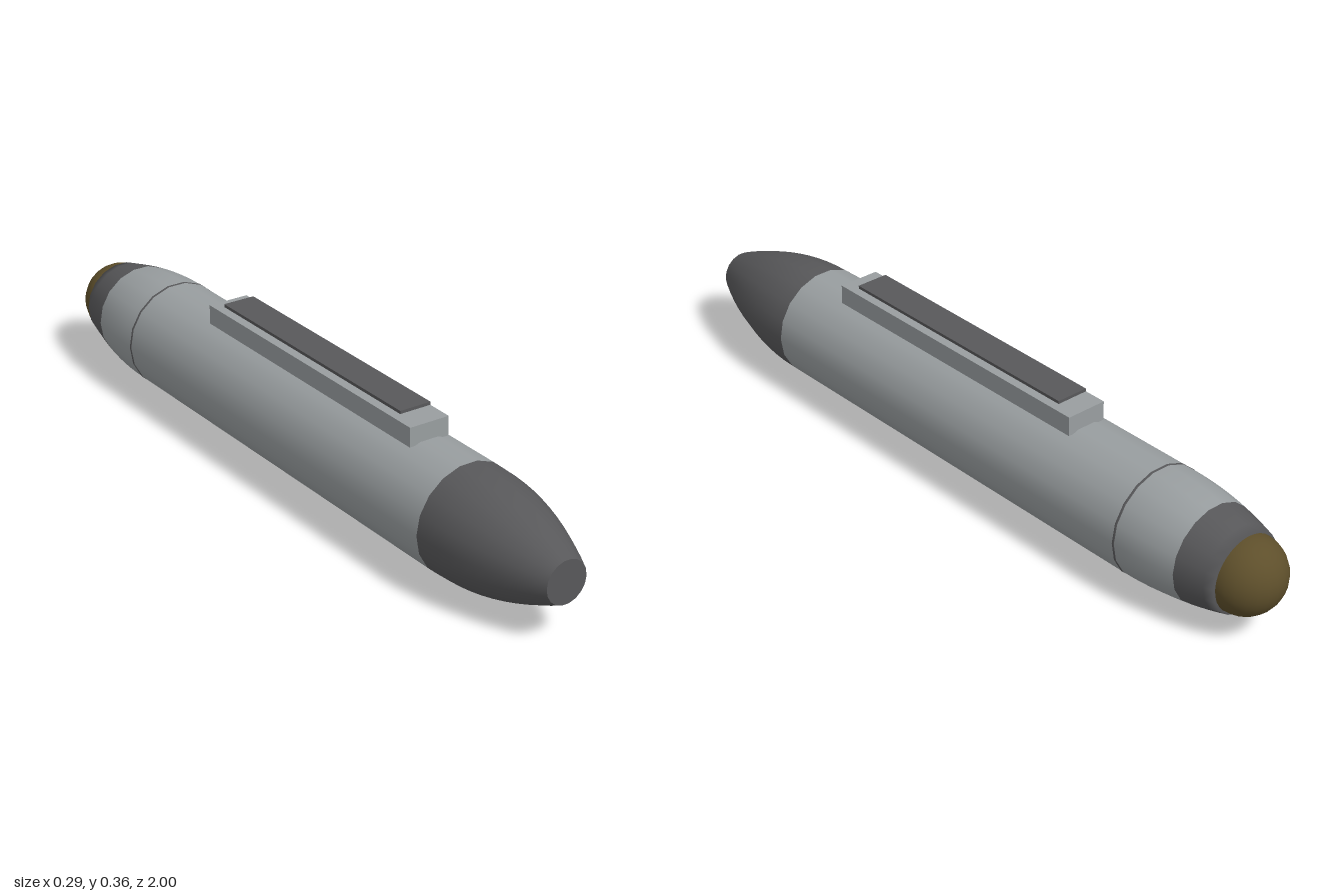
import * as THREE from 'three';

const AXIS_Y = 0.157, R = 0.146, SIDES = 18;

export function createModel() {
  const group = new THREE.Group();
  const material = (name, color) => {
    const m = new THREE.MeshStandardMaterial({ color });
    m.name = name;
    return m;
  };
  const grey = material('light grey', 0x999ea0);
  const dark = material('dark grey', 0x58585a);
  const bronze = material('bronze', 0x5e4f2b);

  const add = (name, geometry, mat, x = 0, y = 0, z = 0) => {
    const mesh = new THREE.Mesh(geometry, mat);
    mesh.name = name;
    mesh.position.set(x, y, z);
    group.add(mesh);
  };

  // Round section along z; profile is a list of [radius, z] from back to front
  const turned = (name, profile, mat) => {
    const points = profile.map(([r, z]) => new THREE.Vector2(r, z));
    const g = new THREE.LatheGeometry(points, SIDES, Math.PI / 2);
    g.rotateX(Math.PI / 2);
    add(name, g, mat, 0, AXIS_Y, 0);
  };

  // Box given by half width, y range and z range
  const block = (name, hw, y0, y1, z0, z1, mat) =>
    add(name, new THREE.BoxGeometry(hw * 2, y1 - y0, z1 - z0), mat, 0, (y0 + y1) / 2, (z0 + z1) / 2);

  // Curved section sampled from a radius rule
  const curve = (z0, z1, radius, n) =>
    Array.from({ length: n + 1 }, (_, i) => {
      const z = z0 + (z1 - z0) * i / n;
      return [radius(z), z];
    });
  const noseRadius = z => R - 0.089 * ((z - 0.64) / 0.36) ** 2;
  const tailRadius = z => R - 0.04 * ((-0.62 - z) / 0.28) ** 2;

  // Main hull
  turned('rearBody', [[R, -0.62], [R, 0.02]], grey);
  turned('frontBody', [[R, 0.02], [R, 0.64]], grey);
  turned('seamRing', [[R, -0.618], [R + 0.001, -0.617], [R + 0.001, -0.612], [R, -0.611]], dark);

  // Nose with flat tip
  turned('nose', curve(0.64, 1, noseRadius, 10), dark);
  const tip = new THREE.CircleGeometry(0.057, SIDES);
  add('noseTip', tip, dark, 0, AXIS_Y, 1);

  // Tapered tail, dark collar and round end cap
  turned('tailTaper', curve(-0.795, -0.62, tailRadius, 6), grey);
  turned('tailCollar', [[0, -0.9], ...curve(-0.9, -0.795, tailRadius, 4)], dark);
  add('tailDome', new THREE.SphereGeometry(0.1, 24, 16), bronze, 0, AXIS_Y, -0.9);

  // Mounting rail on top, with posts and a long plate
  block('rail', 0.056, 0.295, 0.346, -0.365, 0.49, grey);
  for (const z of [0.21, -0.085]) block('railPost', 0.015, 0.34, 0.36, z - 0.02, z + 0.02, grey);
  block('railPlate', 0.044, 0.356, 0.364, -0.315, 0.435, dark);

  // Hatch underneath
  block('hatch', 0.04, 0.004, 0.025, 0.26, 0.44, dark);
  block('hatchCover', 0.028, 0, 0.005, 0.27, 0.43, dark);

  return group;
}
